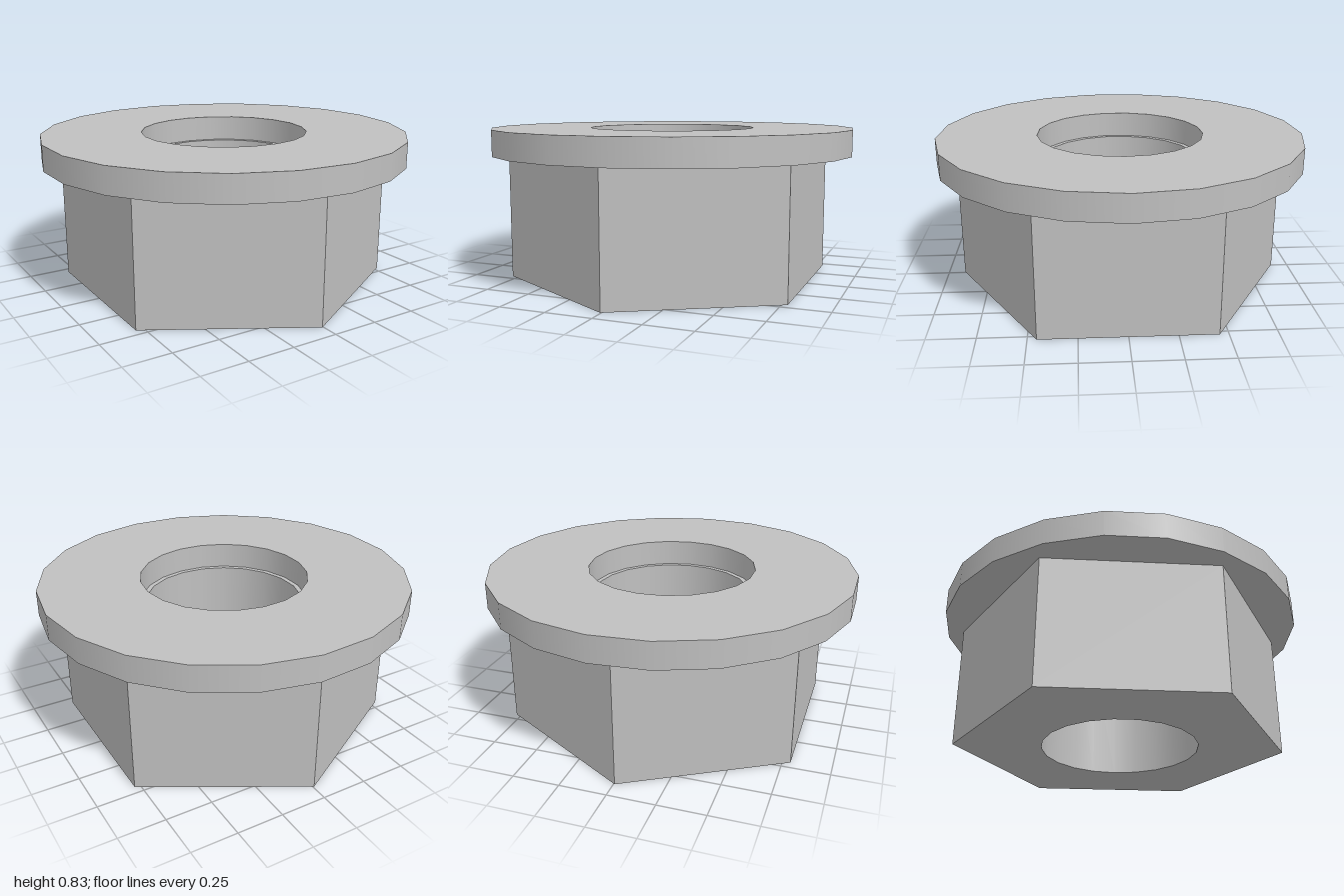
import * as THREE from 'three';

const SIDES = 21, BORE = 0.43, RECESS = 0.457, FLANGE = 1.003, HEX = 0.907;
const SEAT = 0.69, TOP = 0.83;

export function createModel() {
  const group = new THREE.Group();
  group.name = 'flangeNut';
  const steel = new THREE.MeshStandardMaterial({ color: 0xc0c0c0 });
  steel.name = 'steel grey';

  const add = (parent, name, geometry) => {
    const mesh = new THREE.Mesh(geometry, steel);
    mesh.name = name;
    parent.add(mesh);
  };

  // Band of revolution between two profile points, smooth around the axis
  const band = (r0, y0, r1, y1) => new THREE.LatheGeometry(
    [new THREE.Vector2(r0, y0), new THREE.Vector2(r1, y1)], SIDES, Math.PI / 2);

  const polygon = (radius, sides, start) => Array.from({ length: sides }, (_, i) => {
    const a = start + (i / sides) * Math.PI * 2;
    return new THREE.Vector2(Math.cos(a) * radius, Math.sin(a) * radius);
  });

  // Hexagonal body with a round bore
  const body = new THREE.Group();
  body.name = 'hexBody';
  const walls = new THREE.CylinderGeometry(HEX, HEX, SEAT, 6, 1, true).toNonIndexed();
  walls.computeVertexNormals();
  walls.translate(0, SEAT / 2, 0);
  add(body, 'hexWalls', walls);

  const base = new THREE.Shape(polygon(HEX, 6, Math.PI / 2));
  base.holes.push(new THREE.Path(polygon(BORE, SIDES, 0)));
  add(body, 'hexBase', new THREE.ShapeGeometry(base).rotateX(Math.PI / 2));
  add(body, 'boreWall', band(BORE, SEAT, BORE, 0));
  add(body, 'boreLedge', band(RECESS, SEAT, BORE, SEAT));

  // Round flange with a slightly wider opening
  const flange = new THREE.Group();
  flange.name = 'flange';
  add(flange, 'flangeUnderside', band(RECESS, SEAT, FLANGE, SEAT));
  add(flange, 'flangeRim', band(FLANGE, SEAT, FLANGE, TOP));
  add(flange, 'flangeTop', band(FLANGE, TOP, RECESS, TOP));
  add(flange, 'flangeOpening', band(RECESS, TOP, RECESS, SEAT));

  group.add(body, flange);
  // The odd side count reaches further on +x, so shift to centre the width
  for (const part of group.children) part.position.x = -0.0056;
  return group;
}
